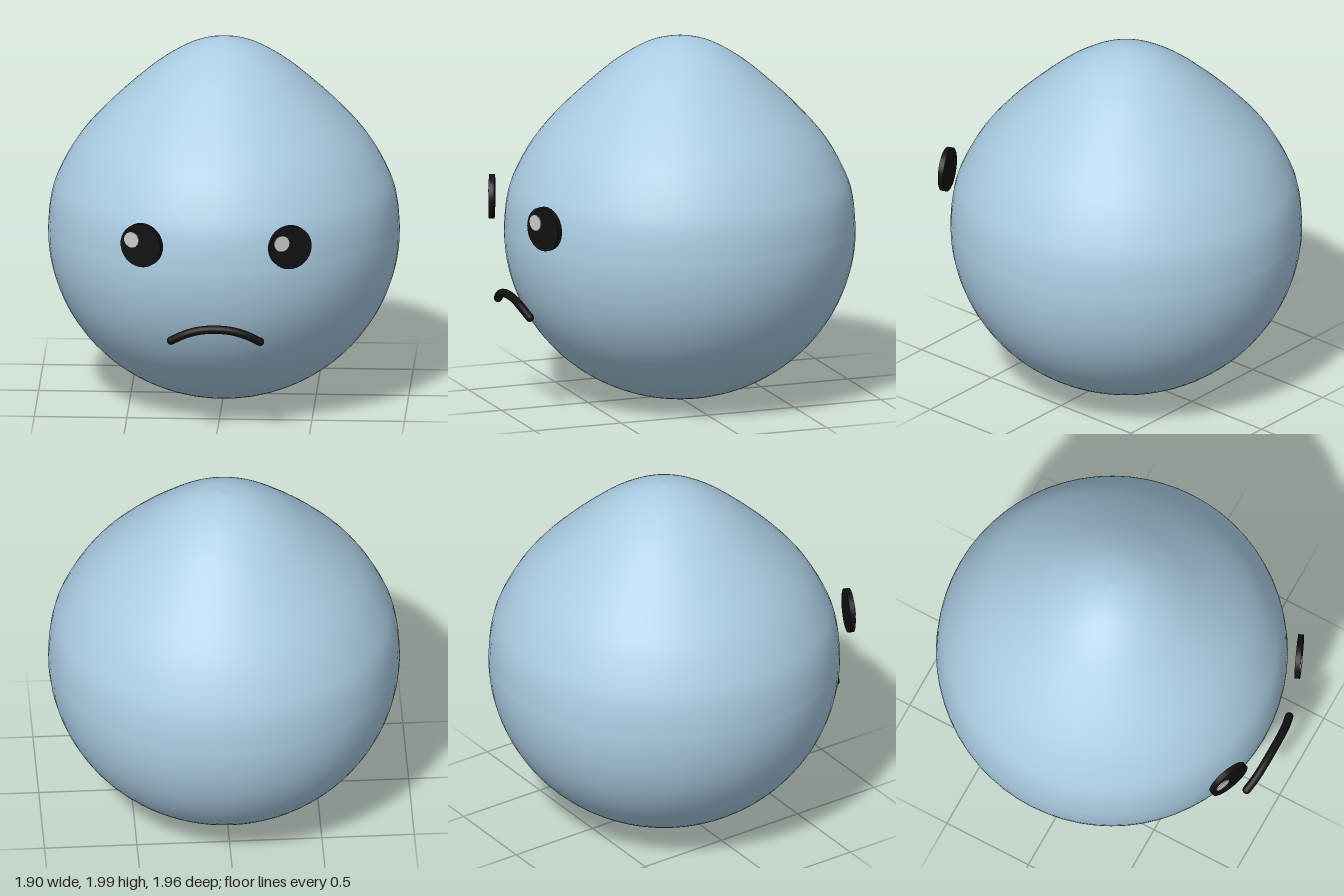
import * as THREE from 'three';

const material = (color) => new THREE.MeshStandardMaterial({ color });

function addMesh(parent, name, geometry, mat, x = 0, y = 0, z = 0) {
  const mesh = new THREE.Mesh(geometry, mat);
  mesh.name = name;
  mesh.position.set(x, y, z);
  parent.add(mesh);
  return mesh;
}

// Drop-shaped body: round below, drawn up to a soft point
function bodyGeometry() {
  const widest = 0.93, radius = 0.95, bottom = 0.01;
  const points = [];
  for (let i = 0; i <= 28; i++) {
    const a = (i / 28) * Math.PI / 2;
    points.push(new THREE.Vector2(radius * Math.sin(a), widest - (widest - bottom) * Math.cos(a)));
  }
  const upper = new THREE.SplineCurve([
    [0.95, 0.93], [0.938, 1.08], [0.9, 1.22], [0.79, 1.42], [0.625, 1.61],
    [0.42, 1.8], [0.3, 1.89], [0.19, 1.953], [0.09, 1.985], [0, 2],
  ].map(([r, y]) => new THREE.Vector2(r, y)));
  points.push(...upper.getPoints(40).slice(1));
  points[0].x = 0;
  points[points.length - 1].x = 0;
  return new THREE.LatheGeometry(points, 64);
}

// Disc whose flat face looks along +z
function disc(radius, depth) {
  return new THREE.CylinderGeometry(radius, radius, depth, 40).rotateX(Math.PI / 2);
}

export function createModel() {
  const model = new THREE.Group();
  model.name = 'sadDrop';
  const black = material(0x111111);
  const white = material(0xcccccc);

  addMesh(model, 'body', bodyGeometry(), material(0xaacce2), 0, 0, -0.03);

  // Eyes: thin discs turned outwards, each with a glint on the same side
  for (const [side, name] of [[1, 'leftEye'], [-1, 'rightEye']]) {
    const eye = new THREE.Group();
    eye.name = name;
    eye.position.set(side * 0.4, 1.1, 0.903);
    eye.rotation.y = side * 0.4;
    addMesh(eye, 'pupil', disc(0.12, 0.03), black);
    addMesh(eye, 'glint', disc(0.043, 0.008), white, -0.053, 0.028, 0.016);
    model.add(eye);
  }

  // Downturned mouth with rounded ends
  const mouth = new THREE.Group();
  mouth.name = 'mouth';
  const path = new THREE.CatmullRomCurve3([
    [-0.24, 0.573, 0.928], [-0.17, 0.611, 0.945], [-0.09, 0.637, 0.953], [0, 0.645, 0.955],
    [0.09, 0.637, 0.953], [0.17, 0.611, 0.945], [0.24, 0.573, 0.928],
  ].map((p) => new THREE.Vector3(...p)));
  addMesh(mouth, 'lip', new THREE.TubeGeometry(path, 40, 0.023, 12), black);
  for (const t of [0, 1]) {
    const end = path.getPoint(t);
    addMesh(mouth, 'mouthCorner', new THREE.SphereGeometry(0.023, 14, 10), black, end.x, end.y, end.z);
  }
  model.add(mouth);

  return model;
}
